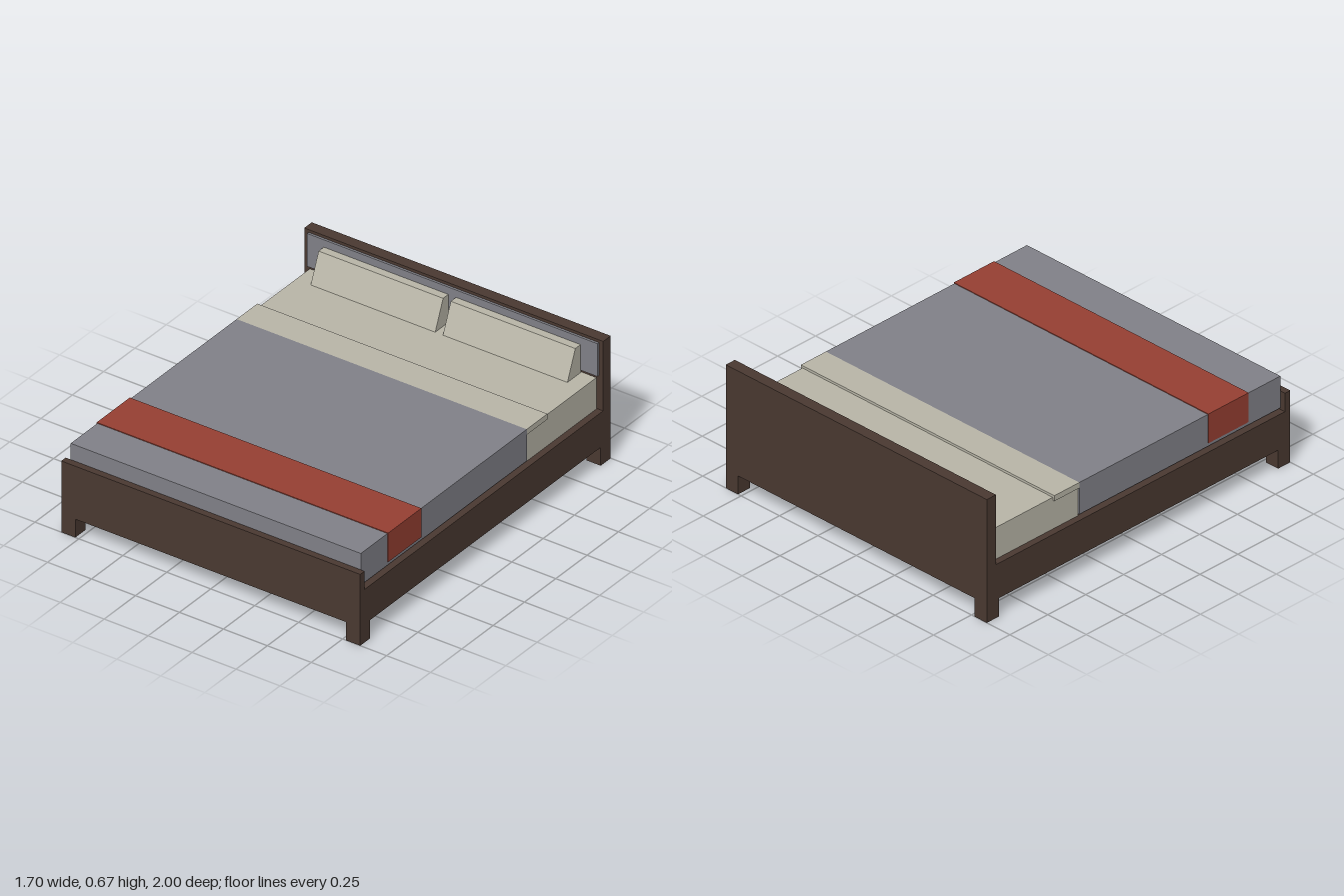
import * as THREE from 'three';

const material = (name, color) => {
  const m = new THREE.MeshStandardMaterial({ color });
  m.name = name;
  return m;
};

export function createModel() {
  const wood = material('dark wood', 0x4a3931);
  const grey = material('grey fabric', 0x818188);
  const linen = material('cream linen', 0xb9b6a8);
  const red = material('red throw', 0x963f32);

  const bed = new THREE.Group();
  bed.name = 'bed';

  // Box given by its minimum and maximum on each axis
  const box = (name, mat, [x0, x1], [y0, y1], [z0, z1], parent = bed) => {
    const mesh = new THREE.Mesh(new THREE.BoxGeometry(x1 - x0, y1 - y0, z1 - z0), mat);
    mesh.position.set((x0 + x1) / 2, (y0 + y1) / 2, (z0 + z1) / 2);
    mesh.name = name;
    parent.add(mesh);
    return mesh;
  };

  // Wooden frame
  box('base', wood, [-0.85, 0.85], [0.1, 0.29], [-0.94, 0.965]);
  box('headboard', wood, [-0.85, 0.85], [0.1, 0.67], [-1, -0.94]);
  box('footboard', wood, [-0.85, 0.85], [0.1, 0.39], [0.965, 1]);
  box('headboardPanel', grey, [-0.825, 0.825], [0.475, 0.655], [-0.94, -0.928]);
  for (const sx of [-1, 1]) {
    for (const sz of [-1, 1]) {
      const leg = box('leg', wood, [-0.04, 0.04], [0, 0.1], [-0.04, 0.04]);
      leg.position.x = sx * 0.81;
      leg.position.z = sz * 0.96;
    }
  }

  // Bedding
  box('mattress', linen, [-0.815, 0.815], [0.29, 0.462], [-0.935, -0.365]);
  box('blanket', grey, [-0.825, 0.825], [0.302, 0.475], [-0.365, 0.96]);
  box('foldedSheet', linen, [-0.825, 0.825], [0.445, 0.475], [-0.53, -0.365]);

  // Red throw lying over the blanket: top and two side drops
  const throwGroup = new THREE.Group();
  throwGroup.name = 'throw';
  bed.add(throwGroup);
  const span = [0.482, 0.747];
  box('throwTop', red, [-0.829, 0.829], [0.475, 0.479], span, throwGroup);
  box('throwLeft', red, [0.825, 0.829], [0.32, 0.475], span, throwGroup);
  box('throwRight', red, [-0.829, -0.825], [0.32, 0.475], span, throwGroup);

  // Wedge pillows: side profile in (-z, y), extruded along x
  const profile = new THREE.Shape([
    new THREE.Vector2(0.822, 0.46),
    new THREE.Vector2(0.93, 0.46),
    new THREE.Vector2(0.93, 0.615),
    new THREE.Vector2(0.886, 0.615),
  ]);
  const pillowGeometry = new THREE.ExtrudeGeometry(profile, { depth: 0.708, bevelEnabled: false });
  pillowGeometry.rotateY(Math.PI / 2);
  for (const x of [-0.73, 0.022]) {
    const pillow = new THREE.Mesh(pillowGeometry, linen);
    pillow.name = 'pillow';
    pillow.position.x = x;
    bed.add(pillow);
  }

  return bed;
}
